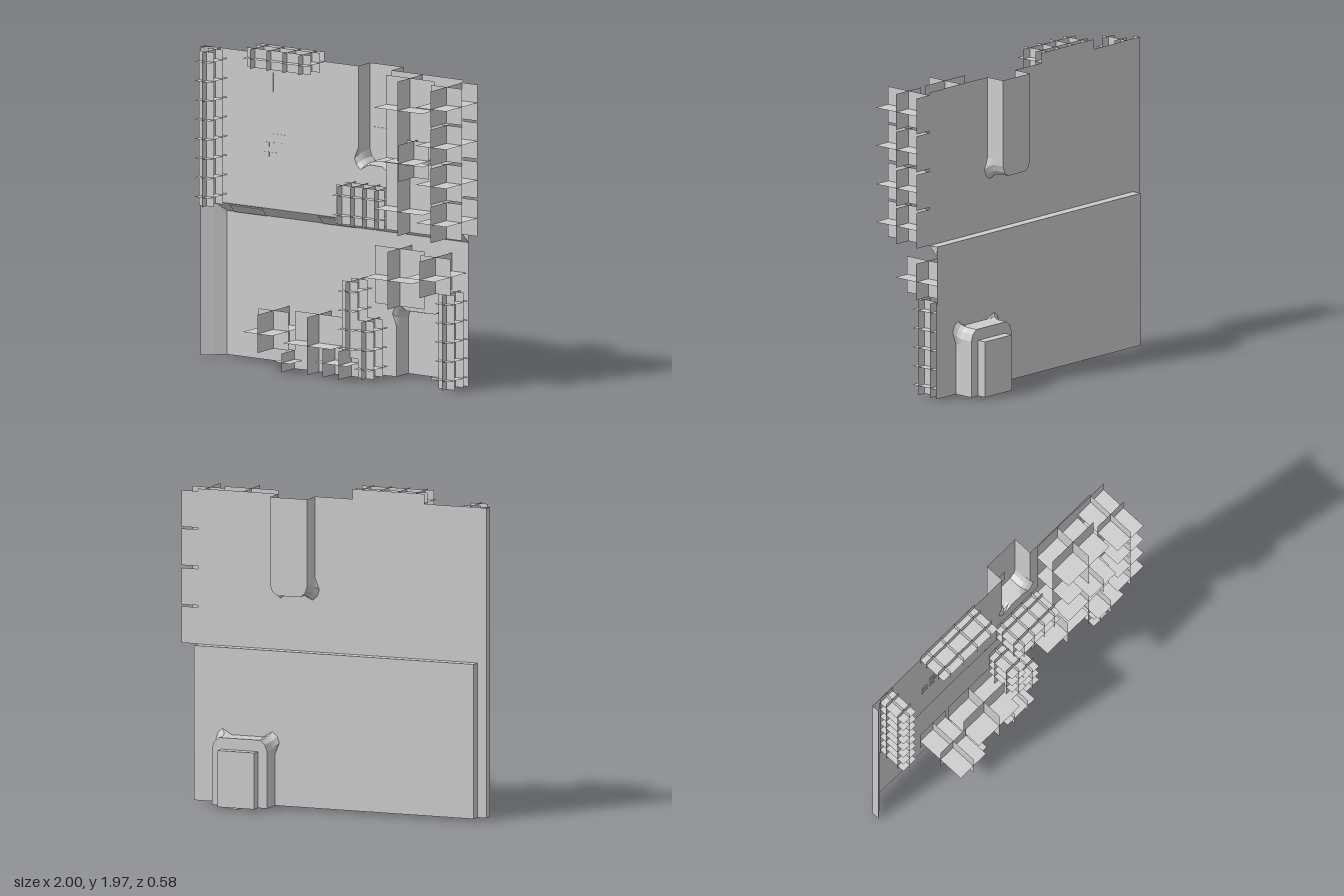
import * as THREE from 'three';

export function createModel() {
  const model = new THREE.Group();
  const grey = new THREE.MeshStandardMaterial({ color: 0xcccccc, side: THREE.DoubleSide });
  grey.name = 'plain grey';

  const add = (name, geometry, parent = model) => {
    const mesh = new THREE.Mesh(geometry, grey);
    mesh.name = name;
    parent.add(mesh);
    return mesh;
  };

  const box = (name, x0, x1, y0, y1, z0, z1) =>
    add(name, new THREE.BoxGeometry(x1 - x0, y1 - y0, z1 - z0))
      .position.set((x0 + x1) / 2, (y0 + y1) / 2, (z0 + z1) / 2);

  // Sheet lofted through cross-sections that share a point count
  const loft = (name, sections) => {
    const n = sections[0].length;
    const index = [];
    for (let j = 0; j < sections.length - 1; j++) {
      for (let i = 0; i < n - 1; i++) {
        const a = j * n + i, b = a + n;
        index.push(a, a + 1, b, a + 1, b + 1, b);
      }
    }
    let g = new THREE.BufferGeometry();
    g.setAttribute('position', new THREE.Float32BufferAttribute(sections.flat(2), 3));
    g.setIndex(index);
    g = g.toNonIndexed();
    g.computeVertexNormals();
    return add(name, g);
  };

  const flat = (name, points, z) => add(name,
    new THREE.ShapeGeometry(new THREE.Shape(points.map(([x, y]) => new THREE.Vector2(x, y)))).translate(0, 0, z));

  // U-shaped outline of a bay; only its two corners flare out
  const bayOutline = (cx, half, closed, open, flare) => {
    const d = Math.sign(open - closed);
    const side = [[half, 0.6, 0], [half, 0.1, 0], [half, 0.065, 1], [half - 0.015, 0.025, 1],
      [half - 0.045, 0, 1], [half - 0.075, 0, 0]];
    const right = side.map(([x, h, k], i) => [
      cx + x + k * flare * 0.8,
      i === 0 ? open : closed + d * (h - k * flare)]);
    return right.concat(right.slice().reverse().map(([x, y]) => [2 * cx - x, y]));
  };

  const bay = (name, cx, half, closed, open, zPanel, zBack) => {
    const ring = (flare, z) => bayOutline(cx, half, closed, open, flare).map(([x, y]) => [x, y, z]);
    loft(name + 'Walls', [ring(0.035, zPanel), ring(0.015, zPanel - 0.018), ring(0.004, zPanel - 0.04),
      ring(0, zPanel - 0.065), ring(0, zBack)]);
    flat(name + 'Back', bayOutline(cx, half, closed, open, 0), zBack);
    return bayOutline(cx, half, closed, open, 0.035);
  };

  // Upper and lower wall sheets, notched where the bays are
  const upperNotch = bay('upperBay', 0.245, 0.122, 1.31, 1.91, -0.05, -0.175);
  flat('upperWall', [[-1, 0.015], [-0.94, 0.015], [-0.94, 0.96], [0.89, 0.96], [0.89, 1.91],
    ...upperNotch, [-1, 1.91]], -0.05);
  const lowerNotch = bay('lowerBay', 0.54, 0.18, 0.43, 0.015, -0.11, -0.237);
  flat('lowerWall', [[0.89, 0.015], [0.89, 0.96], [-0.94, 0.96], [-0.94, 0.015],
    ...lowerNotch.slice().reverse()], -0.11);
  box('lowerBayBlock', 0.42, 0.66, 0.015, 0.36, -0.295, -0.237);
  box('bottomTab', 0.54, 0.6, 0, 0.015, -0.25, -0.22);

  // Square steps at the back of the ledge and the side edge
  loft('ledgeStep', [[[-0.94, 0.96, -0.05], [0.89, 0.96, -0.05]], [[-0.94, 0.96, -0.11], [0.89, 0.96, -0.11]]]);
  loft('lowerSideStep', [[[-0.94, 0.015, -0.05], [-0.94, 0.96, -0.05]], [[-0.94, 0.015, -0.11], [-0.94, 0.96, -0.11]]]);
  loft('outerSideStep', [[[-1, 0.015, 0], [-1, 1.91, 0]], [[-1, 0.015, -0.05], [-1, 1.91, -0.05]]]);

  // Bevels that fill the same steps at the front
  loft('ledgeBevel', [[[-0.94, 0.96, -0.05], [0.89, 0.96, -0.05]], [[-0.88, 0.9, -0.11], [0.89, 0.9, -0.11]]]);
  loft('lowerSideBevel', [[[-0.94, 0.96, -0.05], [-0.94, 0.015, -0.05]], [[-0.88, 0.9, -0.11], [-0.88, 0.015, -0.11]]]);
  loft('outerSideBevel', [[[-1, 1.91, 0], [-1, 0.015, 0]], [[-0.94, 1.91, -0.05], [-0.94, 0.015, -0.05]]]);
  for (const [x0, x1] of [[-0.82, -0.58], [-0.17, 0.07]]) {
    const end = (x) => [[x, 0.955, -0.051], [x, 0.95, -0.05], [x, 0.9, -0.1], [x, 0.9, -0.11]];
    loft('ledgeBracket', [end(x0), end(x1)]);
  }

  // Thin plates on the wall and in the bays
  for (const [x, y] of [[-0.55, 1.355], [-0.49, 1.355], [-0.55, 1.295], [-0.49, 1.295], [-0.49, 1.41], [-0.435, 1.41], [-0.435, 1.355]])
    box('smallPlate', x - 0.022, x + 0.022, y - 0.014, y + 0.014, -0.05, -0.047);
  box('notchPlate', -0.53, -0.5, 1.68, 1.83, -0.05, -0.047);
  box('notchPlate', -0.5, -0.41, 1.8, 1.83, -0.05, -0.047);
  box('upperBayPlate', 0.155, 0.27, 1.4, 1.52, -0.175, -0.17);
  box('lowerBayPlate', 0.39, 0.51, 0.28, 0.4, -0.237, -0.232);

  // Clusters of crossing planes: counts give the planes across x, y and z,
  // and one more plane closes the side next to the wall
  const cluster = (name, x, y, z, counts) => {
    const group = new THREE.Group();
    group.name = name;
    const ranges = [x, y, z];
    const size = ranges.map(([a, b]) => b - a);
    const mid = ranges.map(([a, b]) => (a + b) / 2);
    counts.forEach((count, axis) => {
      for (let i = 0; i < count; i++) {
        const g = axis === 0 ? new THREE.PlaneGeometry(size[2], size[1]).rotateY(Math.PI / 2)
          : axis === 1 ? new THREE.PlaneGeometry(size[0], size[2]).rotateX(-Math.PI / 2)
            : new THREE.PlaneGeometry(size[0], size[1]);
        const p = mid.slice();
        p[axis] = ranges[axis][0] + size[axis] * (i + 0.5) / count;
        add('crossPlane', g, group).position.set(...p);
      }
    });
    add('backPlane', new THREE.PlaneGeometry(size[0], size[1]), group).position.set(mid[0], mid[1], z[0]);
    model.add(group);
  };

  const U = -0.045, L = -0.105;
  cluster('leftColumnCluster', [-0.94, -0.83], [0.96, 1.91], [U, 0.15], [1, 8, 2]);
  cluster('topCluster', [-0.59, -0.12], [1.85, 1.97], [U, 0.15], [4, 1, 2]);
  for (const y of [0.96, 1.195, 1.435, 1.67])
    cluster('rightEdgeCluster', [0.775, 1], [y, y + 0.223], [U, 0.29], [1, 1, 1]);
  cluster('upperLargeCluster', [0.42, 0.775], [1.55, 1.91], [U, 0.22], [1, 1, 1]);
  cluster('upperLargeCluster', [0.42, 0.775], [0.96, 1.55], [U, 0.22], [1, 2, 1]);
  cluster('upperSmallCluster', [0.54, 0.76], [1.31, 1.535], [U, 0.29], [1, 1, 1]);
  cluster('middleCluster', [0.065, 0.42], [0.96, 1.2], [U, 0.15], [4, 2, 2]);
  cluster('lowerLargeCluster', [0.3, 0.66], [0.485, 0.84], [L, 0.16], [1, 1, 1]);
  cluster('lowerEdgeCluster', [0.66, 0.88], [0.6, 0.825], [L, 0.24], [1, 1, 1]);
  cluster('lowerRightColumn', [0.775, 0.89], [0.015, 0.6], [L, 0.09], [1, 5, 2]);
  cluster('lowerMiddleColumn', [0.065, 0.185], [0.13, 0.6], [L, 0.09], [1, 4, 2]);
  cluster('lowerShortColumn', [0.185, 0.3], [0.015, 0.37], [L, 0.09], [1, 3, 2]);
  cluster('lowerBaseCluster', [-0.05, 0.185], [0.015, 0.19], [L, 0.165], [2, 1, 1]);
  cluster('lowerWideCluster', [-0.29, 0.065], [0.015, 0.37], [L, 0.155], [1, 1, 1]);
  cluster('lowerSmallCluster', [-0.35, -0.23], [0.015, 0.13], [L, 0.165], [1, 1, 1]);
  cluster('lowerLeftCluster', [-0.53, -0.31], [0.13, 0.365], [L, 0.235], [1, 1, 1]);

  return model;
}
